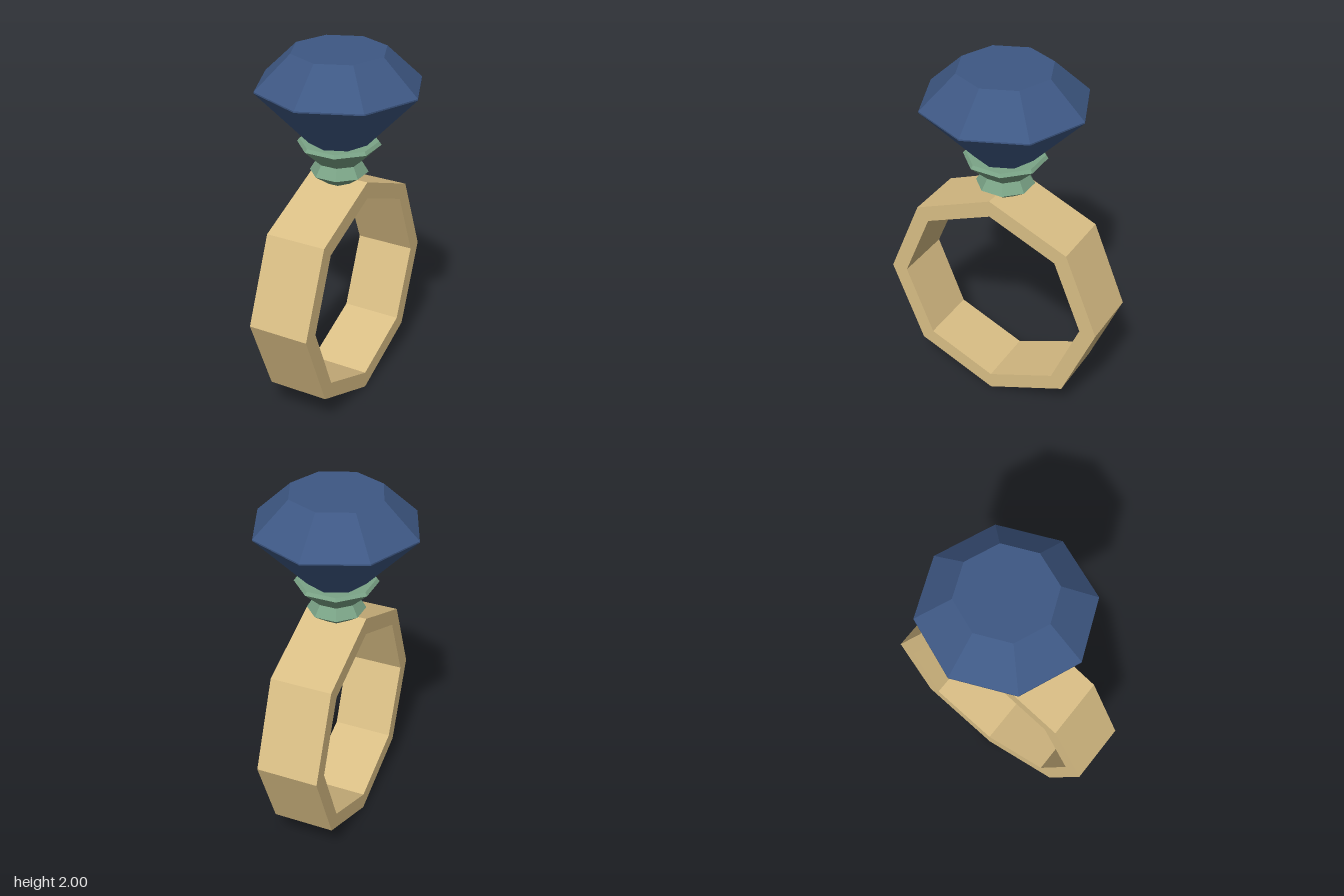
import * as THREE from 'three';

const SIDES = 8;

// Faceted solid turned around the y axis, from [radius, y] points listed bottom to top
function facetedTurning(points, phiStart) {
  const profile = points.map(([r, y]) => new THREE.Vector2(r, y));
  const geometry = new THREE.LatheGeometry(profile, SIDES, phiStart).toNonIndexed();
  geometry.computeVertexNormals();
  return geometry;
}

// Corners of a regular octagon with one corner pointing up
function octagon(radius) {
  return Array.from({ length: SIDES }, (_, i) => {
    const a = Math.PI / 2 + (i * 2 * Math.PI) / SIDES;
    return new THREE.Vector2(radius * Math.cos(a), radius * Math.sin(a));
  });
}

export function createModel() {
  const gold = new THREE.MeshStandardMaterial({ name: 'gold', color: 0xd9be85 });
  const green = new THREE.MeshStandardMaterial({ name: 'green', color: 0x7ba487 });
  const blue = new THREE.MeshStandardMaterial({ name: 'blue', color: 0x3e5884 });

  const ring = new THREE.Group();
  ring.name = 'ring';
  const add = (name, geometry, material) => {
    const mesh = new THREE.Mesh(geometry, material);
    mesh.name = name;
    ring.add(mesh);
    return mesh;
  };

  // Octagonal band, its opening facing sideways
  const outer = 0.648, inner = 0.553, width = 0.342;
  const bandShape = new THREE.Shape(octagon(outer));
  bandShape.holes.push(new THREE.Path(octagon(inner)));
  const bandGeometry = new THREE.ExtrudeGeometry(bandShape, { depth: width, bevelEnabled: false });
  bandGeometry.translate(0, 0, -width / 2).rotateY(Math.PI / 2);
  add('band', bandGeometry, gold).position.y = outer;

  // Waisted setting, flat sides to the front; radii are given to the flats
  const toCorner = 1 / Math.cos(Math.PI / SIDES);
  const settingProfile = [
    [0, 1.265], [0.06, 1.265], [0.146, 1.33], [0.112, 1.39],
    [0.208, 1.488], [0.196, 1.506], [0, 1.506],
  ].map(([r, y]) => [r * toCorner, y]);
  add('setting', facetedTurning(settingProfile, Math.PI / SIDES), green);

  // Cut stone, corners to the front, its point sunk into the setting
  add('gem', facetedTurning([
    [0, 1.33], [0.451, 1.807], [0.451, 1.815], [0.257, 2], [0, 2],
  ], 0), blue);

  return ring;
}
